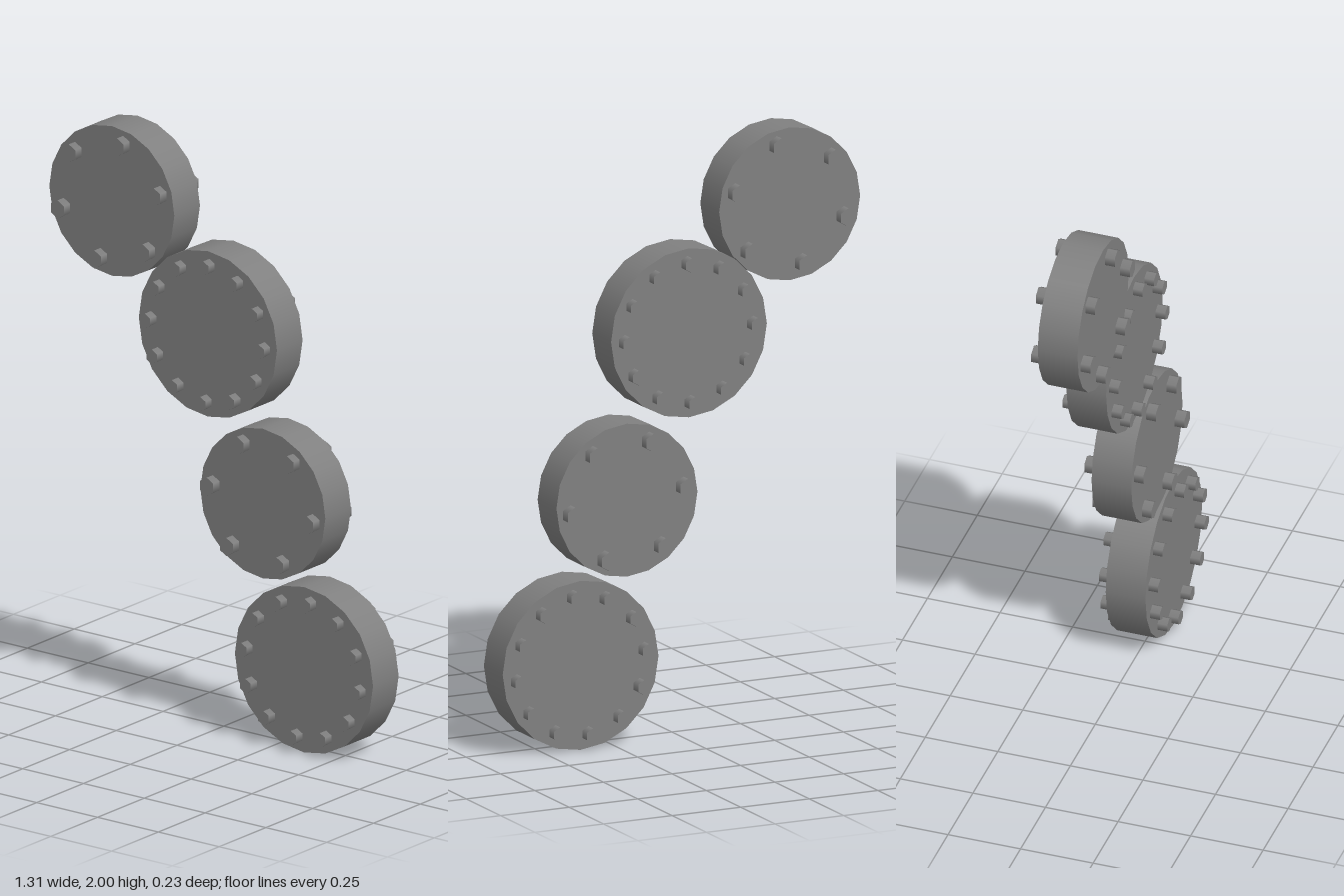
import * as THREE from 'three';

const material = new THREE.MeshStandardMaterial({ color: 0x808080 });

// cylinder whose axis runs front to back
function zCylinder(radius, depth, sides) {
  return new THREE.CylinderGeometry(radius, radius, depth, sides).rotateX(Math.PI / 2);
}

// disc with a ring of hexagonal pins sticking out on both faces
function createWheel({ name, x, y, z, radius, ring, pins, pinRadius, start }) {
  const wheel = new THREE.Group();
  wheel.name = name;
  wheel.position.set(x, y, z);

  const disc = new THREE.Mesh(zCylinder(radius, 0.137, 20), material);
  disc.name = 'disc';
  wheel.add(disc);

  const pinGeometry = zCylinder(pinRadius, 0.204, 6);
  for (let i = 0; i < pins; i++) {
    const a = THREE.MathUtils.degToRad(start) + (i / pins) * Math.PI * 2;
    const pin = new THREE.Mesh(pinGeometry, material);
    pin.name = 'pin';
    pin.position.set(Math.cos(a) * ring, Math.sin(a) * ring, 0);
    wheel.add(pin);
  }
  return wheel;
}

export function createModel() {
  const model = new THREE.Group();
  model.name = 'wheelChain';

  // small wheels carry 6 thick pins, large ones 12 thin pins
  const small = { radius: 0.257, ring: 0.207, pins: 6, pinRadius: 0.031 };
  const large = { radius: 0.284, ring: 0.234, pins: 12, pinRadius: 0.025 };

  model.add(
    createWheel({ ...small, name: 'topWheel', x: -0.4, y: 1.743, z: 0.01, start: 17 }),
    createWheel({ ...large, name: 'upperWheel', x: -0.022, y: 1.357, z: -0.012, start: 28.5 }),
    createWheel({ ...small, name: 'lowerWheel', x: 0.204, y: 0.82, z: -0.012, start: 53 }),
    createWheel({ ...large, name: 'bottomWheel', x: 0.373, y: 0.284, z: -0.012, start: 23 })
  );
  return model;
}
